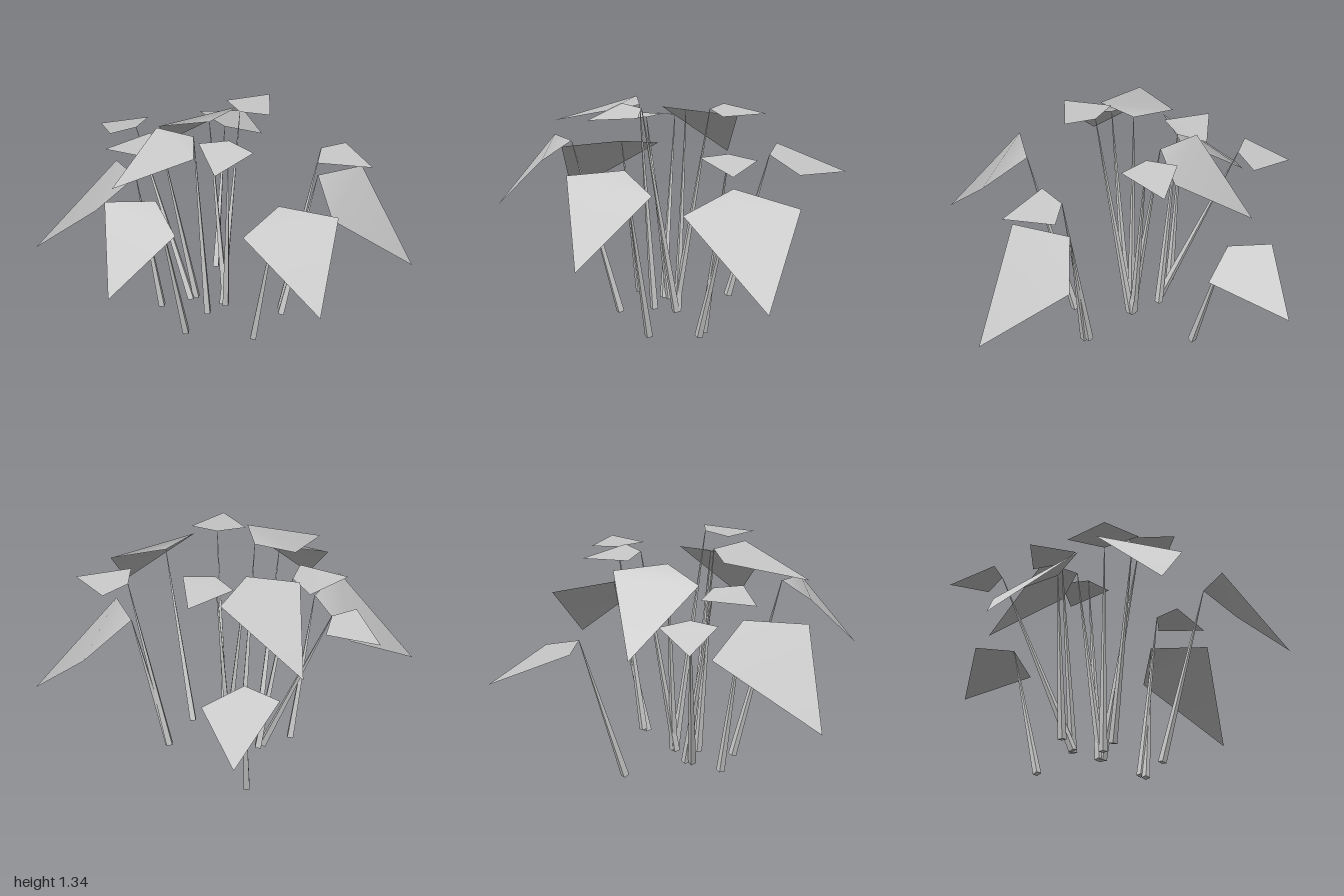
import * as THREE from 'three';

const material = new THREE.MeshStandardMaterial({ color: 0xcccccc, side: THREE.DoubleSide });
const stemMaterial = new THREE.MeshStandardMaterial({ color: 0xcccccc, flatShading: true });

// Thin four-sided stalk tapering from the ground up to the leaf
function makeStem(root, top) {
  const a = new THREE.Vector3(...root);
  const b = new THREE.Vector3(...top);
  const dir = b.clone().sub(a);
  const stem = new THREE.Mesh(new THREE.CylinderGeometry(0.002, 0.025, dir.length(), 4), stemMaterial);
  stem.quaternion.setFromUnitVectors(new THREE.Vector3(0, 1, 0), dir.normalize());
  stem.position.copy(a).add(b).multiplyScalar(0.5);
  stem.name = 'stem';
  return stem;
}

// Kite-shaped blade that bends down along the line between its side corners
function makeBlade(base, right, tip, left) {
  const geometry = new THREE.BufferGeometry();
  geometry.setAttribute('position', new THREE.Float32BufferAttribute([base, right, tip, left].flat(), 3));
  geometry.setIndex([0, 1, 3, 1, 2, 3]);
  geometry.computeVertexNormals();
  const blade = new THREE.Mesh(geometry, material);
  blade.name = 'blade';
  return blade;
}

export function createModel() {
  const plant = new THREE.Group();
  plant.name = 'leafyPlant';

  // One leaf: stem root, then blade corners (base, right side, tip, left side)
  const addLeaf = (name, root, base, right, tip, left) => {
    const leaf = new THREE.Group();
    leaf.name = name;
    leaf.add(makeStem(root, base), makeBlade(base, right, tip, left));
    plant.add(leaf);
  };

  // Back clumps
  addLeaf('backRightLeaf', [-0.47, 0.025, -0.32],
    [-0.64, 0.91, -0.52], [-0.54, 0.83, -0.74], [-0.97, 0.75, -0.93], [-0.88, 0.92, -0.5]);
  addLeaf('backLeftLargeLeaf', [0.17, 0.015, -0.34],
    [0.22, 0.955, -0.55], [0.56, 0.885, -0.37], [0.7, 0.435, -0.9], [0.19, 0.87, -0.93]);
  addLeaf('backLeftSmallLeaf', [0.14, 0.035, -0.36],
    [0.26, 1.165, -0.53], [0.38, 1.165, -0.4], [0.57, 1.135, -0.65], [0.28, 1.15, -0.7]);

  // Centre clump
  addLeaf('centreBackLeaf', [-0.11, 0.035, -0.1],
    [-0.18, 1.29, -0.28], [-0.05, 1.285, -0.4], [-0.29, 1.262, -0.59], [-0.35, 1.285, -0.31]);
  addLeaf('centreRightLeaf', [-0.1, 0.035, -0.115],
    [-0.25, 1.25, -0.11], [-0.34, 1.22, -0.4], [-0.78, 0.865, -0.21], [-0.45, 1.205, 0.11]);
  addLeaf('centreLeftLeaf', [-0.09, 0.035, -0.11],
    [0.12, 1.34, 0.03], [0.04, 1.337, 0.18], [0.32, 1.295, 0.28], [0.29, 1.325, -0.01]);

  // Right clump
  addLeaf('rightSideLeaf', [-0.26, 0.04, 0.03],
    [-0.69, 1.093, 0.11], [-0.78, 1.075, -0.04], [-0.99, 1.01, 0.17], [-0.73, 1.085, 0.27]);
  addLeaf('rightSmallLeaf', [-0.26, 0.04, -0.01],
    [-0.34, 1.16, 0.17], [-0.51, 1.142, 0.13], [-0.52, 1.135, 0.44], [-0.26, 1.157, 0.32]);
  addLeaf('frontRightLeaf', [-0.32, 0.035, 0.21],
    [-0.36, 0.99, 0.34], [-0.73, 0.89, 0.235], [-0.72, 0.505, 0.835], [-0.245, 0.95, 0.69]);

  // Front and left leaves
  addLeaf('frontCentreLeaf', [-0.09, 0.035, 0.03],
    [-0.09, 1.302, 0.12], [-0.31, 1.295, 0.22], [-0.1, 1.155, 0.67], [0.11, 1.298, 0.265]);
  addLeaf('frontLeaf', [-0.04, 0.007, 0.23],
    [0.06, 1.09, 0.49], [-0.15, 1.055, 0.69], [0.2, 0.688, 0.915], [0.34, 1.035, 0.56]);
  addLeaf('leftSideLeaf', [0.25, 0.007, -0.06],
    [0.51, 1.09, -0.015], [0.59, 1.05, 0.295], [0.995, 0.655, 0.08], [0.735, 1.037, -0.255]);

  return plant;
}
